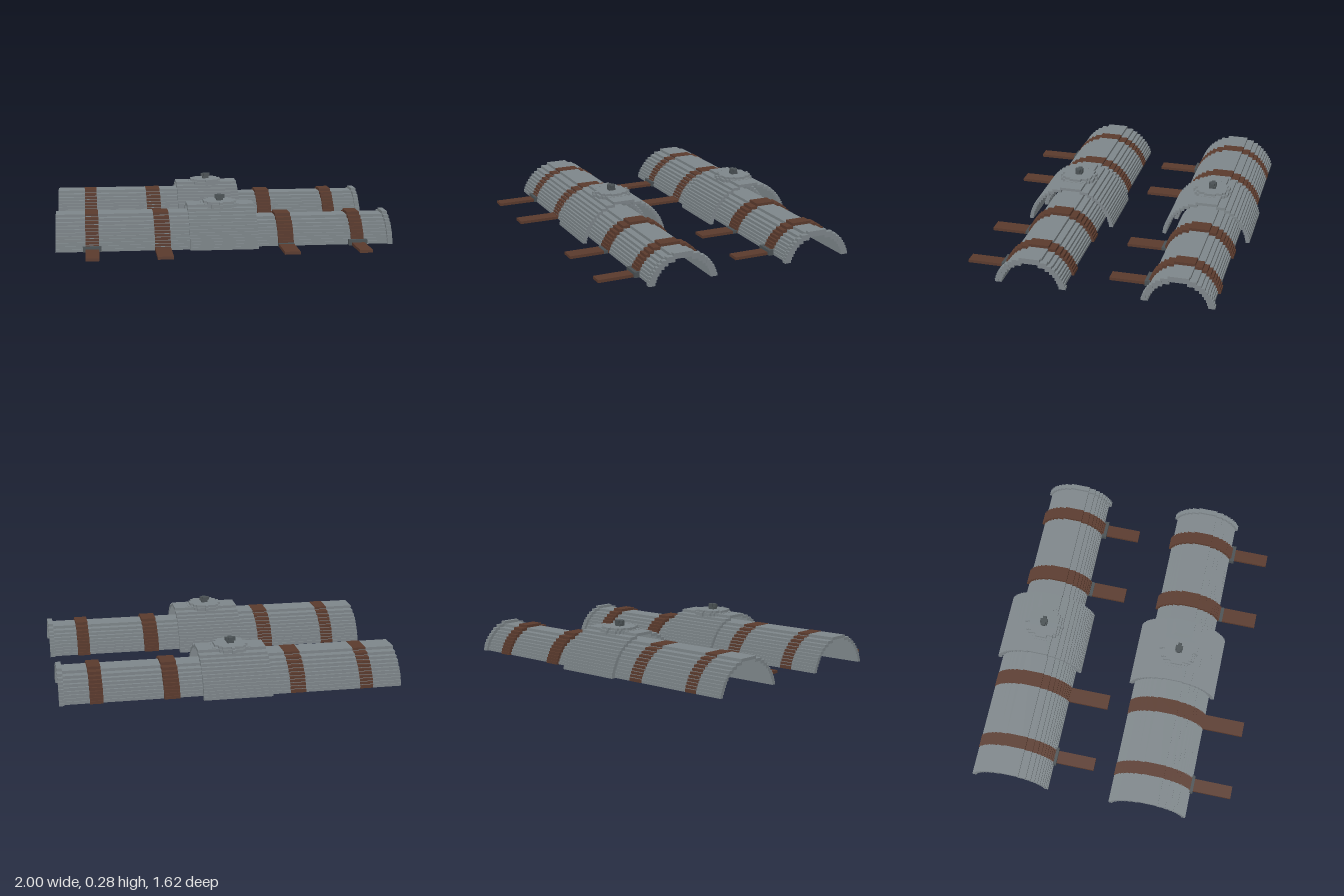
import * as THREE from 'three';

const steel = new THREE.MeshStandardMaterial({ color: 0x7e868a });
steel.name = 'steel grey';
const darkSteel = new THREE.MeshStandardMaterial({ color: 0x4a5154 });
darkSteel.name = 'dark steel';
const leather = new THREE.MeshStandardMaterial({ color: 0x5a3a2d });
leather.name = 'brown leather';

// Box given by its lower and upper limits on each axis
function block(parent, name, mat, x0, x1, y0, y1, z0, z1) {
  const mesh = new THREE.Mesh(new THREE.BoxGeometry(x1 - x0, y1 - y0, z1 - z0), mat);
  mesh.position.set((x0 + x1) / 2, (y0 + y1) / 2, (z0 + z1) / 2);
  mesh.name = name;
  parent.add(mesh);
}

// Stepped arch: a shell of stacked bars following a circle cut off by the ground.
// pad lifts the outer faces, inset pulls the inner faces outward.
function arch(parent, name, mat, x0, x1, halfWidth, height, rows, pad = 0, inset = 0) {
  const group = new THREE.Group();
  group.name = name;
  const sum = halfWidth * halfWidth / height;
  const radius = (sum + height) / 2;
  const drop = (sum - height) / 2;
  const step = height / rows;
  const reach = (i) => Math.sqrt(Math.max(0, radius ** 2 - (drop + (i + 0.5) * step) ** 2));
  for (let i = 0; i < rows; i++) {
    const out = reach(i) + pad;
    const y0 = i * step + (i ? inset : 0);
    const y1 = (i + 1) * step + pad;
    if (i === rows - 1) {
      block(group, 'crownBar', mat, x0, x1, y0, y1, -out, out);
      continue;
    }
    const inner = Math.min(out - 0.024, reach(i + 1) - 0.008) + inset;
    block(group, 'sideBar', mat, x0, x1, y0, y1, inner, out);
    block(group, 'sideBar', mat, x0, x1, y0, y1, -out, -inner);
  }
  parent.add(group);
}

// Blocky round plate made of strips
function disc(parent, name, mat, cx, radius, y0, y1, strips) {
  const w = 2 * radius / strips;
  const group = new THREE.Group();
  group.name = name;
  for (let i = 0; i < strips; i++) {
    const x = -radius + (i + 0.5) * w;
    const half = Math.max(w, Math.round(Math.sqrt(radius ** 2 - x * x) / w) * w);
    block(group, 'discStrip', mat, cx + x - w / 2, cx + x + w / 2, y0, y1, -half, half);
  }
  parent.add(group);
}

function guard() {
  const g = new THREE.Group();
  g.name = 'armGuard';

  // Three overlapping plates and the end rim
  arch(g, 'wideShell', steel, -1, -0.025, 0.242, 0.19, 11);
  arch(g, 'narrowShell', steel, -0.015, 0.999, 0.197, 0.155, 9);
  arch(g, 'jointShell', steel, -0.22, 0.183, 0.273, 0.235, 14);
  arch(g, 'endRim', steel, 0.97, 1, 0.213, 0.172, 10);

  // Round boss with a cross-shaped stud
  disc(g, 'bossBase', steel, -0.02, 0.112, 0.212, 0.237, 13);
  disc(g, 'bossTop', steel, -0.02, 0.098, 0.23, 0.251, 11);
  block(g, 'studNeck', darkSteel, -0.04, 0, 0.25, 0.266, -0.02, 0.02);
  block(g, 'studCross', darkSteel, -0.05, 0.01, 0.264, 0.284, -0.011, 0.011);
  block(g, 'studCross', darkSteel, -0.031, -0.009, 0.264, 0.284, -0.023, 0.023);

  // Straps over the shells, each with a loose tongue on the ground
  for (const [x0, x1] of [[-0.828, -0.75], [-0.424, -0.332]]) {
    arch(g, 'wideStrap', leather, x0, x1, 0.242, 0.19, 11, 0.002, 0.006);
    block(g, 'strapTongue', leather, x0, x1, 0, 0.017, 0.225, 0.488);
  }
  for (const [x0, x1] of [[0.31, 0.402], [0.75, 0.826]]) {
    arch(g, 'narrowStrap', leather, x0, x1, 0.213, 0.172, 10);
    block(g, 'strapTongue', leather, x0, x1, 0, 0.017, 0.19, 0.438);
  }

  // Buckles where the tongues leave the shells
  block(g, 'buckle', darkSteel, -0.844, -0.735, 0, 0.033, 0.232, 0.254);
  block(g, 'buckle', darkSteel, 0.732, 0.842, 0, 0.033, 0.195, 0.226);
  block(g, 'keeper', darkSteel, 0.309, 0.403, 0, 0.02, 0.2, 0.226);
  return g;
}

export function createModel() {
  const model = new THREE.Group();
  model.name = 'armGuardPair';
  // Matching pair side by side
  for (const z of [0.322, -0.538]) {
    const g = guard();
    g.position.z = z;
    model.add(g);
  }
  return model;
}
